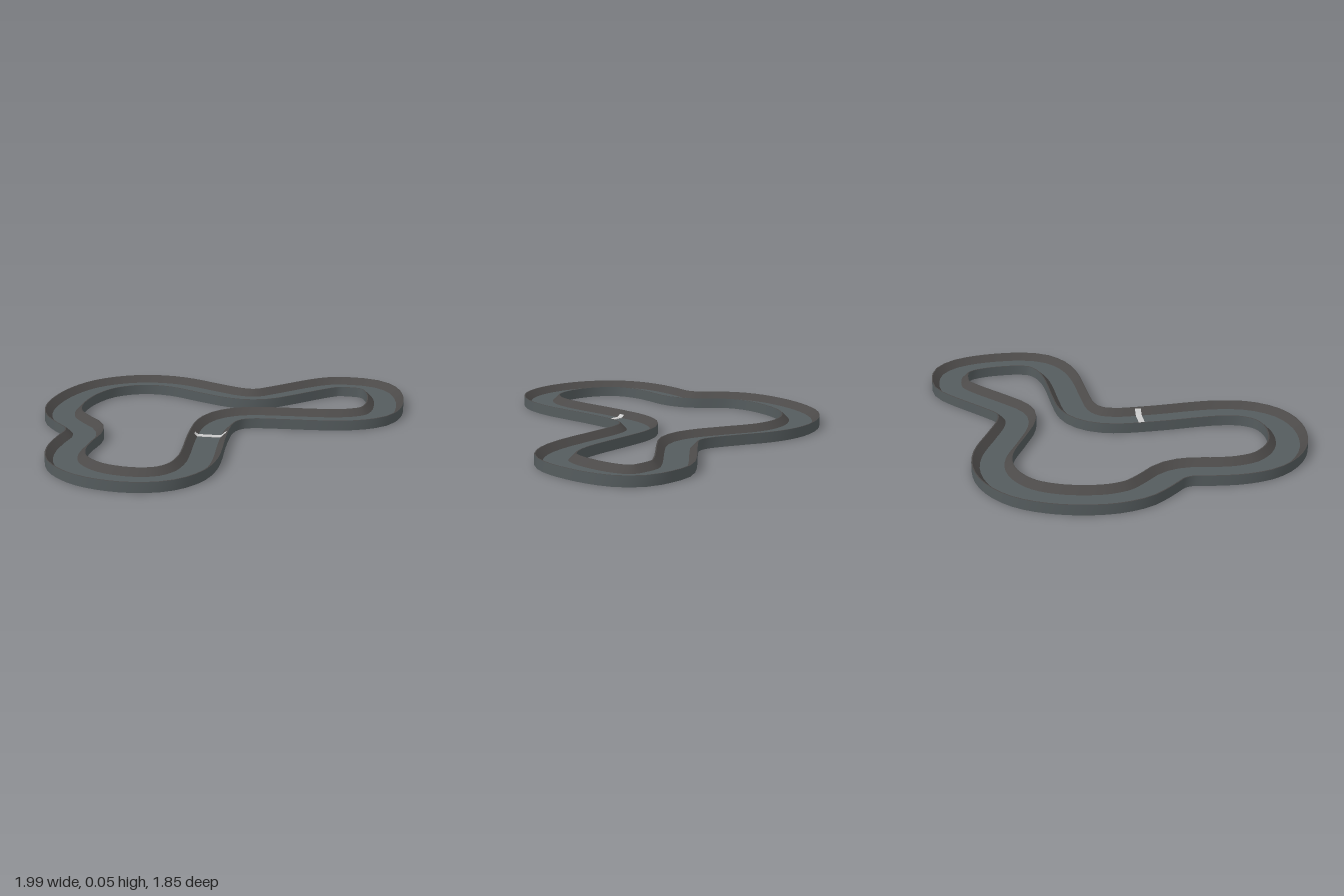
import * as THREE from 'three';
import { toCreasedNormals } from 'three/addons/utils/BufferGeometryUtils.js';

// Centre line of the circuit in plan, as [x, z]
const PATH = [
  [-0.045, 0.12], [-0.03, -0.02], [0.01, -0.115], [0.08, -0.175], [0.17, -0.2], [0.29, -0.203],
  [0.6, -0.203], [0.735, -0.23], [0.83, -0.29], [0.875, -0.385], [0.89, -0.505], [0.885, -0.625],
  [0.855, -0.73], [0.795, -0.795], [0.7, -0.82], [0.6, -0.82], [0.52, -0.78], [0.29, -0.61],
  [0.2, -0.55], [0.12, -0.533], [0.02, -0.555], [-0.12, -0.625], [-0.315, -0.725], [-0.465, -0.752],
  [-0.61, -0.725], [-0.745, -0.64], [-0.84, -0.495], [-0.89, -0.32], [-0.895, -0.21], [-0.87, -0.1],
  [-0.8, 0.005], [-0.725, 0.1], [-0.705, 0.195], [-0.73, 0.32], [-0.745, 0.455], [-0.72, 0.595],
  [-0.64, 0.705], [-0.525, 0.78], [-0.345, 0.817], [-0.2, 0.785], [-0.105, 0.69], [-0.06, 0.55],
  [-0.05, 0.4], [-0.05, 0.27],
];
const HALF = 0.103, RIM = 0.055, ROAD = 0.02, ROAD_HALF = 0.062;
const curve = new THREE.CatmullRomCurve3(PATH.map(([x, z]) => new THREE.Vector3(x, 0, z)), true, 'centripetal');
const STEPS = 120;

// Sweeps a line of [offset, height] points round the closed path
function sweep(profile) {
  const pos = [], index = [], n = profile.length;
  for (let i = 0; i < STEPS; i++) {
    const p = curve.getPointAt(i / STEPS), t = curve.getTangentAt(i / STEPS);
    for (const [o, y] of profile) pos.push(p.x - t.z * o, y, p.z + t.x * o);
    for (let j = 0; j < n - 1; j++) {
      const a = i * n + j, b = ((i + 1) % STEPS) * n + j;
      index.push(a, b, a + 1, b, b + 1, a + 1);
    }
  }
  const g = new THREE.BufferGeometry();
  g.setAttribute('position', new THREE.Float32BufferAttribute(pos, 3));
  g.setIndex(index);
  return toCreasedNormals(g, 0.5);
}

export function createModel() {
  const group = new THREE.Group();
  const add = (name, geometry, color) => {
    const mesh = new THREE.Mesh(geometry, new THREE.MeshStandardMaterial({ color, side: THREE.DoubleSide }));
    mesh.name = name;
    group.add(mesh);
    return mesh;
  };

  // Road bed, underside and outer walls
  add('road', sweep([[ROAD_HALF, ROAD], [-ROAD_HALF, ROAD]].reverse()), 0x555c5e);
  add('underside', sweep([[HALF, 0], [-HALF, 0]]), 0x555c5e);
  for (const s of [1, -1]) {
    const side = s > 0 ? 'right' : 'left';
    const oriented = (pts) => sweep(s > 0 ? pts : pts.map(([o, y]) => [-o, y]).reverse());
    add(side + 'Wall', oriented([[HALF, RIM], [HALF, 0]]), 0x555c5e);
    // Banked kerb rising from the road to a narrow rim
    add(side + 'Bank', oriented([[ROAD_HALF, ROAD], [HALF - 0.006, RIM], [HALF, RIM]]), 0x4c4a49);
  }

  // Start line, laid across the road and up both banks
  const line = new THREE.BoxGeometry(2 * HALF - 0.004, 0.004, 0.032, 20, 1, 1);
  const p = line.attributes.position;
  for (let i = 0; i < p.count; i++) {
    const k = Math.max(0, Math.abs(p.getX(i)) - ROAD_HALF) / (HALF - 0.006 - ROAD_HALF);
    p.setY(i, p.getY(i) + ROAD + 0.001 + Math.min(1, k) * (RIM - ROAD - 0.004));
  }
  line.computeVertexNormals();
  const start = add('startLine', line, 0xcccccc);
  start.position.set(-0.046, 0, 0.115);
  start.rotation.y = -0.06;
  return group;
}
